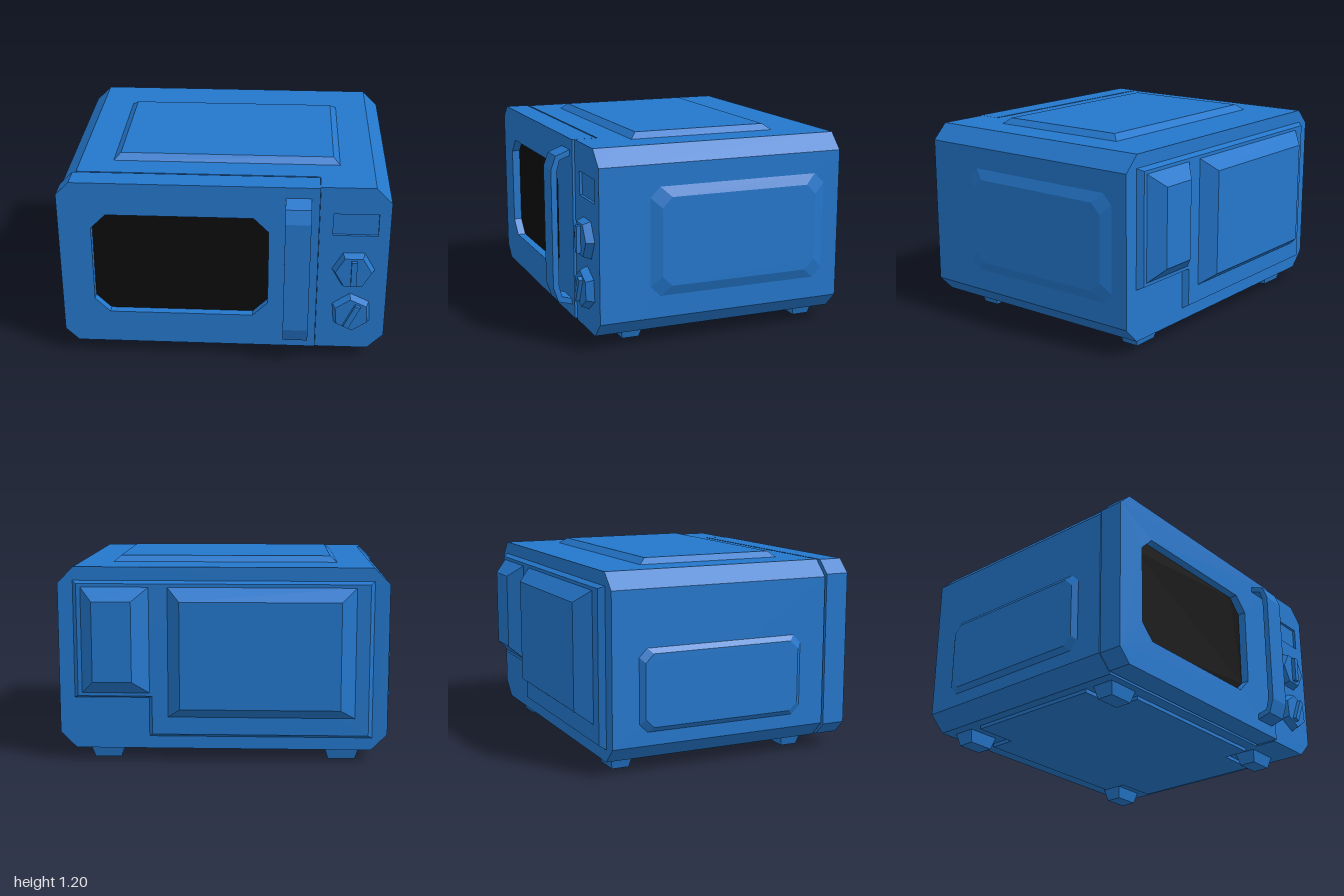
import * as THREE from 'three';

const blue = new THREE.MeshStandardMaterial({ color: 0x2477cc, flatShading: true });
const black = new THREE.MeshStandardMaterial({ color: 0x0c0c0c, flatShading: true });

// Rectangle outline with cut corners, counter-clockwise
function octagon(x0, x1, y0, y1, c) {
  return [[x0 + c, y0], [x1 - c, y0], [x1, y0 + c], [x1, y1 - c],
    [x1 - c, y1], [x0 + c, y1], [x0, y1 - c], [x0, y0 + c]];
}
const rect = (x0, x1, y0, y1) => [[x0, y0], [x1, y0], [x1, y1], [x0, y1]];
const vectors = (pts) => pts.map(([x, y]) => new THREE.Vector2(x, y));

// Closed solid between outline a at z0 and outline b at z1
function loft(a, b, z0, z1) {
  const pos = [], n = a.length;
  const put = (p, z) => pos.push(p[0], p[1], z);
  for (let i = 0; i < n; i++) {
    const j = (i + 1) % n;
    put(a[i], z0); put(a[j], z0); put(b[j], z1);
    put(a[i], z0); put(b[j], z1); put(b[i], z1);
  }
  for (const [i, j, k] of THREE.ShapeUtils.triangulateShape(vectors(a), [])) {
    put(a[k], z0); put(a[j], z0); put(a[i], z0);
  }
  for (const [i, j, k] of THREE.ShapeUtils.triangulateShape(vectors(b), [])) {
    put(b[i], z1); put(b[j], z1); put(b[k], z1);
  }
  const g = new THREE.BufferGeometry();
  g.setAttribute('position', new THREE.Float32BufferAttribute(pos, 3));
  g.computeVertexNormals();
  return g;
}

// Straight extrusion from z0 to z1 with an optional hole
function slab(outline, z0, z1, hole) {
  const shape = new THREE.Shape(vectors(outline));
  if (hole) shape.holes.push(new THREE.Path(vectors(hole)));
  return new THREE.ExtrudeGeometry(shape, { depth: z1 - z0, bevelEnabled: false }).translate(0, 0, z0);
}

export function createModel() {
  const model = new THREE.Group();
  const add = (name, geometry, parent = model, material = blue) => {
    const mesh = new THREE.Mesh(geometry, material);
    mesh.name = name;
    parent.add(mesh);
    return mesh;
  };

  // Casing and control column
  add('casing', slab(octagon(-0.975, 0.975, 0.075, 1.165, 0.095), -0.765, 0.615));
  const column = [[0.56, 0.075], [0.88, 0.075], [0.975, 0.17], [0.975, 1.07], [0.88, 1.165], [0.56, 1.165]];
  const display = rect(0.64, 0.905, 0.855, 0.995);
  add('controlPanel', slab(column, 0.615, 0.755, display));
  add('displayScreen', slab(display, 0.615, 0.738));

  // Door with sunken window
  const opening = octagon(-0.785, 0.265, 0.295, 0.96, 0.09);
  const doorOutline = [[-0.9, 0.082], [0.558, 0.082], [0.558, 1.165], [-0.9, 1.165], [-0.98, 1.085], [-0.98, 0.162]];
  add('door', slab(doorOutline, 0.625, 0.77, opening));
  add('window', slab(opening, 0.63, 0.72), model, black);
  const seal = octagon(-0.84, 0.325, 0.24, 1.01, 0.09);
  add('doorSeal', slab(seal, 0.61, 0.63));

  // Handle: bent strip, profile drawn in z and y
  const handle = slab([[0.765, 0.155], [0.855, 0.18], [0.885, 0.27], [0.885, 0.985], [0.855, 1.065], [0.765, 1.1],
    [0.765, 1.065], [0.832, 1.04], [0.85, 0.975], [0.85, 0.28], [0.832, 0.21], [0.765, 0.19]], 0, 0.15);
  add('handle', handle.rotateY(-Math.PI / 2).translate(0.51, 0, 0));

  // Knobs with pointer bars
  for (const [y, turn] of [[0.63, 0], [0.335, -0.44]]) {
    const knob = new THREE.Group();
    knob.name = 'knob';
    knob.position.set(0.77, y, 0.755);
    knob.rotation.z = turn;
    const hex = (r) => Array.from({ length: 6 }, (_, i) =>
      [r * Math.cos(i * Math.PI / 3), r * Math.sin(i * Math.PI / 3)]);
    add('knobBase', loft(hex(0.127), hex(0.108), 0, 0.047), knob);
    add('knobPointer', new THREE.BoxGeometry(0.034, 0.16, 0.03).translate(0.002, 0, 0.057), knob);
    model.add(knob);
  }

  // Raised panels on the top and sides
  const topPanel = add('topPanel', loft(rect(-0.68, 0.68, -0.45, 0.46), rect(-0.64, 0.64, -0.41, 0.415), 0, 0.035));
  topPanel.rotation.x = -Math.PI / 2;
  topPanel.position.y = 1.165;

  const leftPanel = add('leftPanel', loft(octagon(-0.45, 0.66, 0.3, 0.94, 0.06),
    octagon(-0.385, 0.595, 0.36, 0.88, 0.06), 0, 0.025));
  leftPanel.rotation.y = Math.PI / 2;
  leftPanel.position.x = 0.975;

  const rightPanel = add('rightPanel', loft(octagon(-0.6, 0.45, 0.25, 0.735, 0.05),
    octagon(-0.57, 0.42, 0.28, 0.705, 0.05), 0, 0.025));
  rightPanel.rotation.y = -Math.PI / 2;
  rightPanel.position.x = -0.975;

  // Back: stepped plate carrying two tapered housings
  const back = new THREE.Group();
  back.name = 'back';
  back.rotation.y = Math.PI;
  const stepped = (x0, x1, xs, y0, y1, ys) => [[xs, y0], [x1, y0], [x1, y1], [x0, y1], [x0, ys], [xs, ys]];
  add('backPlate', loft(stepped(-0.885, 0.885, -0.44, 0.15, 1.085, 0.385),
    stepped(-0.86, 0.86, -0.42, 0.17, 1.07, 0.4), 0.765, 0.8), back);
  add('largeHousing', loft(rect(-0.325, 0.78, 0.275, 1.05), rect(-0.25, 0.69, 0.34, 0.975), 0.8, 0.885), back);
  add('smallHousing', loft(rect(-0.835, -0.435, 0.42, 1.05), rect(-0.76, -0.53, 0.5, 0.975), 0.8, 0.885), back);
  model.add(back);

  // Underside plate, notched around the feet
  const basePlate = [[-0.55, -0.54], [0.55, -0.54], [0.55, -0.38], [0.815, -0.38], [0.815, 0.49], [0.55, 0.49],
    [0.55, 0.65], [-0.55, 0.65], [-0.55, 0.49], [-0.815, 0.49], [-0.815, -0.38], [-0.55, -0.38]];
  add('basePlate', slab(basePlate, 0.053, 0.08).rotateX(-Math.PI / 2));

  // Four tapered feet
  for (const x of [-0.71, 0.7]) {
    for (const z of [0.5, -0.64]) {
      const foot = loft(rect(-0.08, 0.08, -0.052, 0.052), rect(-0.105, 0.105, -0.07, 0.07), 0, 0.08);
      add('foot', foot.rotateX(-Math.PI / 2).translate(x, 0, z));
    }
  }
  return model;
}
